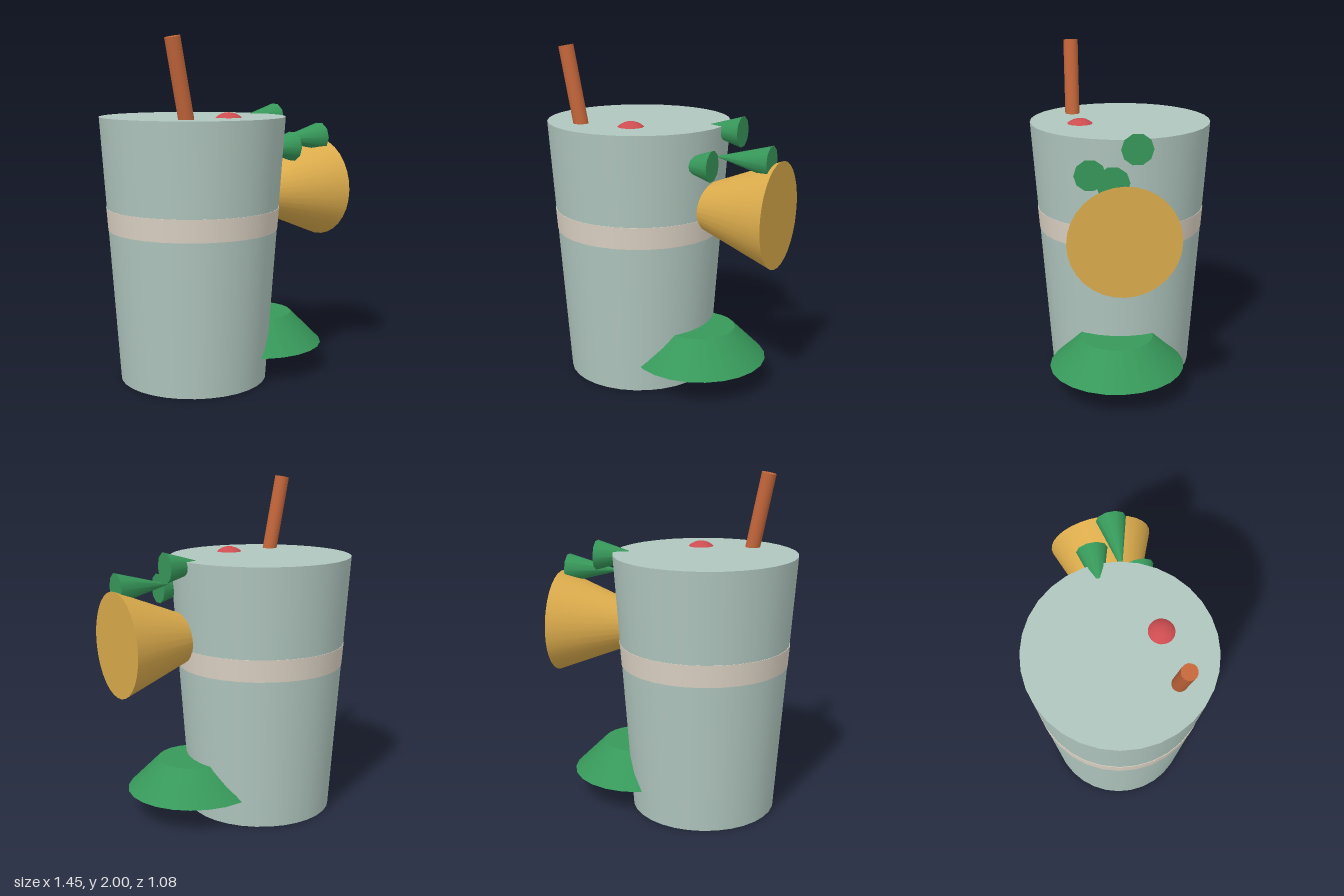
import * as THREE from 'three';

const CUP_X = -0.187, CUP_H = 1.55, R_BOTTOM = 0.432, R_TOP = 0.54;
const cupRadius = (y) => R_BOTTOM + (R_TOP - R_BOTTOM) * (y / CUP_H);

const material = (color) => new THREE.MeshStandardMaterial({ color });
const teal = material(0xb0c6be);
const cream = material(0xdcd2c4);
const gold = material(0xdbab4c);
const green = material(0x37985a);
const red = material(0xcc4c50);
const orange = material(0xc2653a);

export function createModel() {
  const model = new THREE.Group();
  model.name = 'decoratedTumbler';

  const add = (name, geometry, mat, x, y, z) => {
    const mesh = new THREE.Mesh(geometry, mat);
    mesh.name = name;
    mesh.position.set(x, y, z);
    model.add(mesh);
    return mesh;
  };

  // Cone lying along x with its wide, closed end facing +x at baseX
  const addSideCone = (name, mat, radius, length, sides, baseX, y, z) => {
    const geometry = new THREE.ConeGeometry(radius, length, sides);
    geometry.translate(0, length / 2, 0);
    geometry.rotateZ(Math.PI / 2);
    return add(name, geometry, mat, baseX, y, z);
  };

  // Tapered cup with a closed top
  add('cup', new THREE.CylinderGeometry(R_TOP, R_BOTTOM, CUP_H, 32), teal, CUP_X, CUP_H / 2, 0);

  // Thin band hugging the taper
  const bandLow = 0.895, bandHigh = 1.025;
  add('band',
    new THREE.CylinderGeometry(cupRadius(bandHigh) + 0.003, cupRadius(bandLow) + 0.002, bandHigh - bandLow, 32),
    cream, CUP_X, (bandLow + bandHigh) / 2, 0);

  // Straw leaning to the side
  const strawLength = 0.7, tilt = 0.195;
  const straw = new THREE.CylinderGeometry(0.044, 0.044, strawLength, 16);
  straw.translate(0, -strawLength / 2, 0);
  add('straw', straw, orange, -0.508, 1.991, 0.275).rotation.z = tilt;

  // Berry sunk into the lid
  add('berry', new THREE.SphereGeometry(0.11, 24, 16), red, -0.11, 1.47, 0.245);

  // Large side cone
  addSideCone('sideCone', gold, 0.307, 0.785, 32, 0.725, 1.085, 0.063);

  // Small leaf cones: base x, y, z, length
  const leaves = [
    [0.46, 1.52, -0.033, 0.3],
    [0.385, 1.362, 0.222, 0.27],
    [0.695, 1.4, 0.122, 0.335],
  ];
  leaves.forEach(([x, y, z, length], i) =>
    addSideCone(`leaf${i + 1}`, green, 0.09, length, 10, x, y, z));

  // Flared skirt low on the side
  add('skirt', new THREE.CylinderGeometry(0.215, 0.4, 0.185, 24), green, 0.242, 0.2475, 0.062);

  return model;
}
